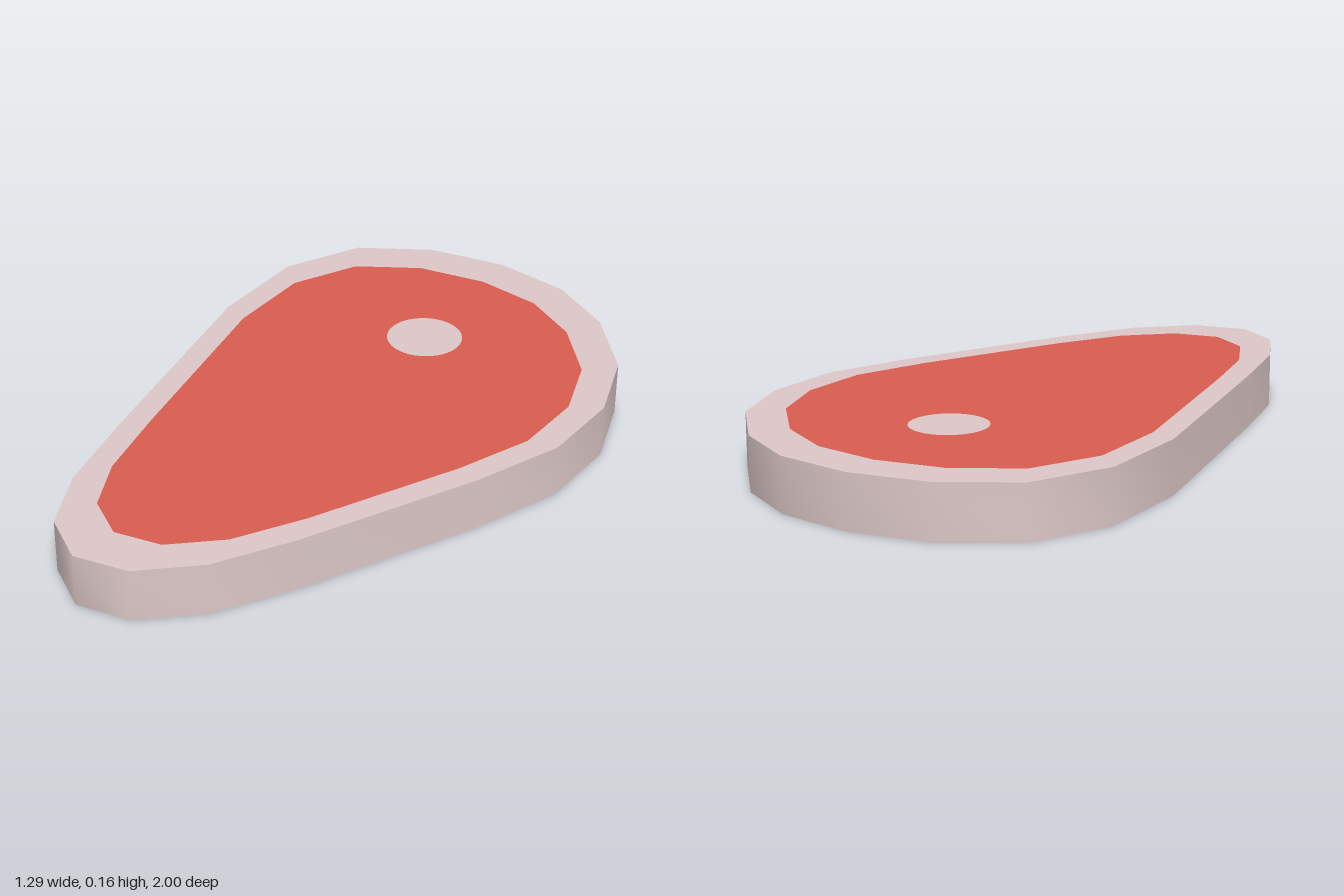
import * as THREE from 'three';

const HEIGHT = 0.16;

// Steak outline as [x, z], running clockwise when seen from above
const OUTLINE = [
  [0.07, -1.0], [0.285, -0.925], [0.485, -0.765], [0.605, -0.55], [0.645, -0.295], [0.595, -0.015],
  [0.45, 0.525], [0.36, 0.775], [0.235, 0.94], [0.08, 1.0], [-0.075, 0.935], [-0.2, 0.765],
  [-0.315, 0.5], [-0.59, -0.185], [-0.645, -0.495], [-0.575, -0.745], [-0.395, -0.905], [-0.165, -0.99],
];
// The meat follows the outline at a smaller scale
const MEAT = OUTLINE.map(([x, z]) => [x * 0.865 + 0.005, z * 0.862 - 0.009]);
// Round bone near the wide end
const BONE = Array.from({ length: 40 }, (_, i) => {
  const a = (i / 40) * Math.PI * 2;
  return [-0.035 + 0.114 * Math.cos(a), -0.48 + 0.114 * Math.sin(a)];
});

// Flat horizontal face, facing up (side = 1) or down (side = -1)
function flatFace(outer, inner, side) {
  const toPoints = (pts) => pts.map(([x, z]) => new THREE.Vector2(x, -side * z));
  const shape = new THREE.Shape(toPoints(outer));
  if (inner) shape.holes.push(new THREE.Path(toPoints(inner)));
  const geometry = new THREE.ShapeGeometry(shape);
  geometry.rotateX(-side * Math.PI / 2);
  geometry.translate(0, side > 0 ? HEIGHT : 0, 0);
  return geometry;
}

// Smooth closed wall around the outline
function wall(outline) {
  const positions = [];
  const index = [];
  const n = outline.length;
  outline.forEach(([x, z], i) => {
    positions.push(x, 0, z, x, HEIGHT, z);
    const a = 2 * i;
    const b = 2 * ((i + 1) % n);
    index.push(a, a + 1, b + 1, a, b + 1, b);
  });
  const geometry = new THREE.BufferGeometry();
  geometry.setAttribute('position', new THREE.Float32BufferAttribute(positions, 3));
  geometry.setIndex(index);
  geometry.computeVertexNormals();
  return geometry;
}

export function createModel() {
  const group = new THREE.Group();
  group.name = 'steak';
  const fat = new THREE.MeshStandardMaterial({ color: 0xdcc7c7 });
  fat.name = 'pale fat';
  const meat = new THREE.MeshStandardMaterial({ color: 0xd95d50 });
  meat.name = 'red meat';

  const add = (name, geometry, material) => {
    const mesh = new THREE.Mesh(geometry, material);
    mesh.name = name;
    group.add(mesh);
  };

  add('fatEdge', wall(OUTLINE), fat);
  // Fat rim, meat and bone on both cut faces
  for (const [label, side] of [['Top', 1], ['Bottom', -1]]) {
    add('fatRim' + label, flatFace(OUTLINE, MEAT, side), fat);
    add('meat' + label, flatFace(MEAT, BONE, side), meat);
    add('bone' + label, flatFace(BONE, null, side), fat);
  }
  return group;
}
